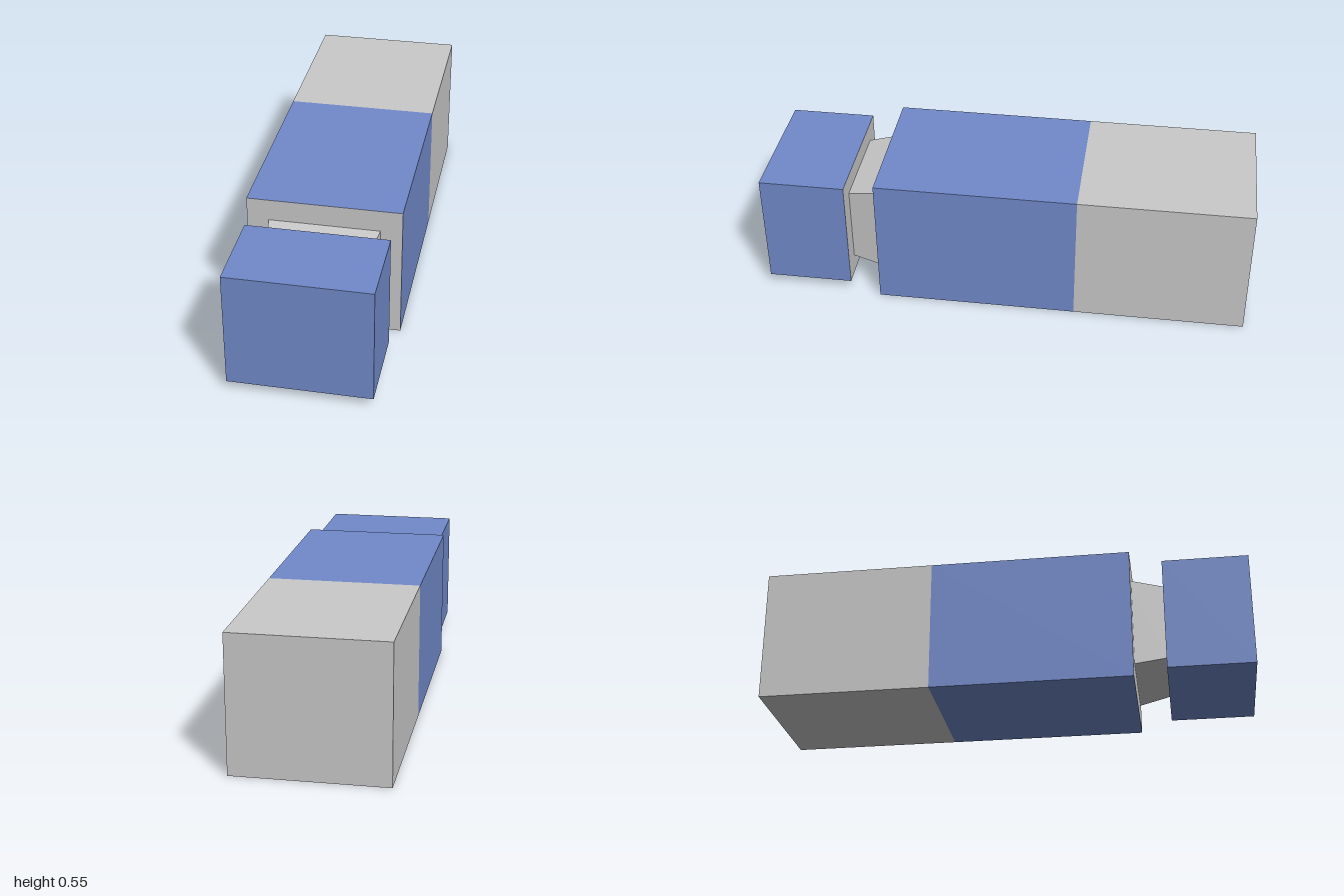
import * as THREE from 'three';

const grey = new THREE.MeshStandardMaterial({ color: 0xc9c9c9 });
grey.name = 'light grey';
const blue = new THREE.MeshStandardMaterial({ color: 0x718aca });
blue.name = 'soft blue';

// Corners of a rectangular section { w: half width, y0, y1, z }, counter-clockwise from the front
const corners = ({ w, y0, y1, z }) => [[-w, y0, z], [w, y0, z], [w, y1, z], [-w, y1, z]];

// Flat-shaded mesh from a list of quads
function quadMesh(name, quads, material) {
  const points = quads.flatMap(([a, b, c, d]) => [a, b, c, a, c, d]).flat();
  const geometry = new THREE.BufferGeometry();
  geometry.setAttribute('position', new THREE.Float32BufferAttribute(points, 3));
  geometry.computeVertexNormals();
  const mesh = new THREE.Mesh(geometry, material);
  mesh.name = name;
  return mesh;
}

// Four walls joining a back section to a front section
function walls(name, back, front, material) {
  const b = corners(back), f = corners(front);
  const quads = b.map((p, i) => [p, b[(i + 1) % 4], f[(i + 1) % 4], f[i]]);
  return quadMesh(name, quads, material);
}

// Flat end panel facing the front or the back
function panel(name, section, facesFront, material) {
  const c = corners(section);
  return quadMesh(name, [facesFront ? c : c.reverse()], material);
}

export function createModel() {
  const model = new THREE.Group();
  model.name = 'cappedBlock';
  const body = (z) => ({ w: 0.306, y0: 0, y1: 0.553, z });
  const cap = (z) => ({ w: 0.281, y0: 0.039, y1: 0.515, z });

  model.add(
    // Main body: grey rear half, blue front half, grey ends
    panel('bodyBack', body(-1), false, grey),
    walls('bodyRearWalls', body(-1), body(-0.3), grey),
    walls('bodyFrontWalls', body(-0.3), body(0.52), blue),
    panel('bodyFront', body(0.52), true, grey),
    // Neck tapering towards the cap
    walls('neck', { w: 0.22, y0: 0.09, y1: 0.464, z: 0.52 },
      { w: 0.2, y0: 0.116, y1: 0.439, z: 0.65 }, grey),
    // Front cap: blue with a grey back
    panel('capBack', cap(0.65), false, grey),
    walls('capWalls', cap(0.65), cap(1), blue),
    panel('capFront', cap(1), true, blue),
  );
  return model;
}
